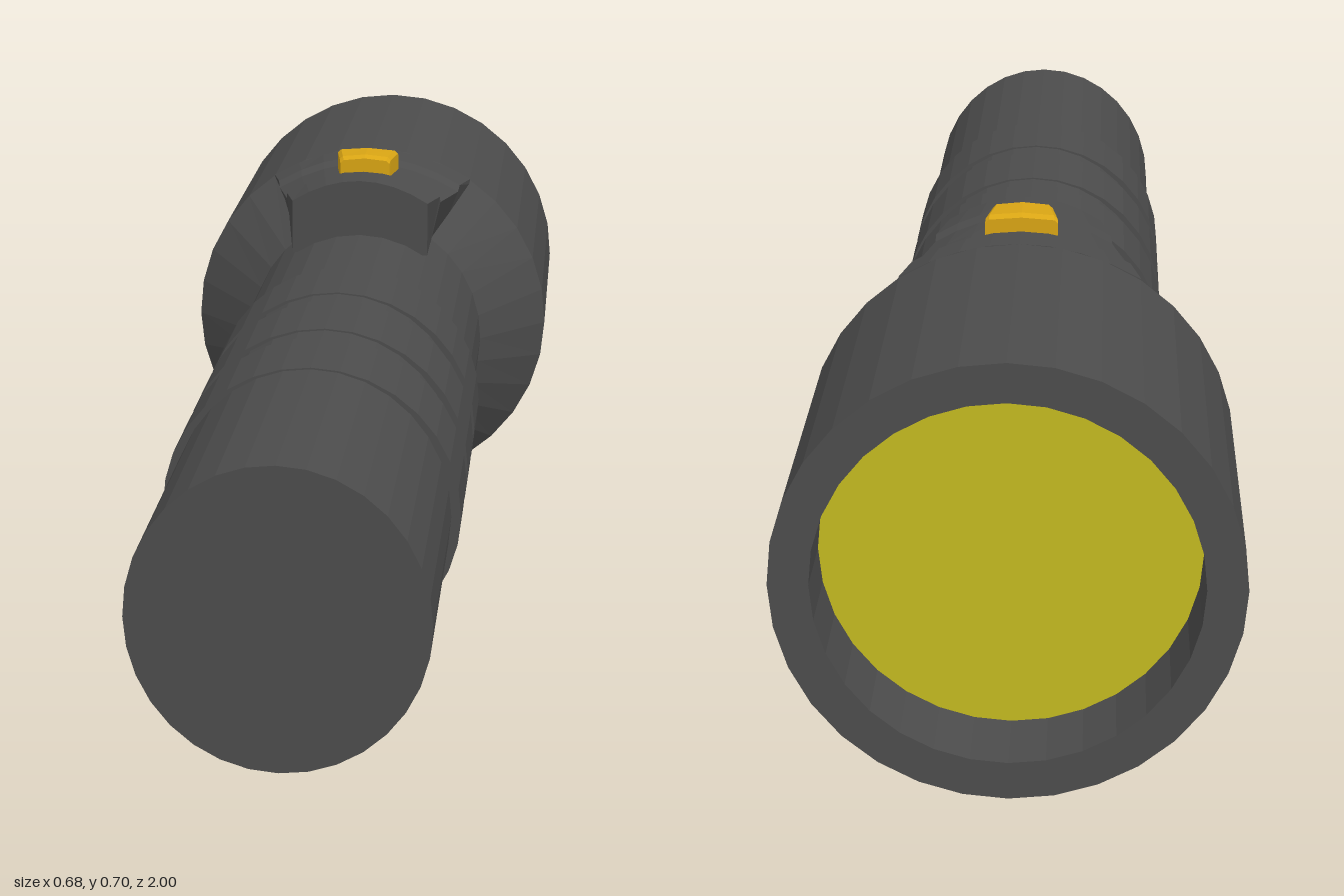
import * as THREE from 'three';

const AXIS = 0.341; // height of the torch axis
const SIDES = 32;
const paint = (color) => new THREE.MeshStandardMaterial({ color, flatShading: true });

// Skin a list of cross-sections running from front (+z) to back; points go counter-clockwise seen from +z.
function loft(sections, capFront, capBack) {
  const n = sections[0].length;
  const pos = sections.flat(2);
  const index = [];
  for (let s = 0; s < sections.length - 1; s++) {
    for (let i = 0; i < n; i++) {
      const j = (i + 1) % n;
      const a = s * n + i, b = s * n + j;
      index.push(a, a + n, b, b, a + n, b + n);
    }
  }
  const cap = (s, flip) => {
    const c = pos.length / 3;
    const sum = [0, 0, 0];
    sections[s].forEach((p) => p.forEach((v, k) => { sum[k] += v / n; }));
    pos.push(...sum);
    for (let i = 0; i < n; i++) {
      const a = s * n + i, b = s * n + (i + 1) % n;
      if (flip) index.push(c, b, a);
      else index.push(c, a, b);
    }
  };
  if (capFront) cap(0, false);
  if (capBack) cap(sections.length - 1, true);
  const g = new THREE.BufferGeometry();
  g.setAttribute('position', new THREE.Float32BufferAttribute(pos, 3));
  g.setIndex(index);
  const flat = g.toNonIndexed();
  flat.computeVertexNormals();
  return flat;
}

// Elliptical ring around the axis
function ring(z, rx, ry = rx) {
  return Array.from({ length: SIDES }, (_, i) => {
    const a = (i / SIDES) * Math.PI * 2;
    return [rx * Math.cos(a), AXIS + ry * Math.sin(a), z];
  });
}

// Section of the switch housing: arched top, slanted sides
function housingSection(z, drop) {
  const t = (-0.235 - z) / 0.255;
  const k = Math.max(0, (-0.37 - z) / 0.12);
  const w = 0.125 + 0.065 * t;
  const side = 0.638 - 0.013 * t, mid = 0.678 + 0.003 * t;
  const bx = 0.125 + 0.065 * k, by = 0.54 + 0.075 * k;
  const pts = [[-bx, by, z], [bx, by, z]];
  for (let i = 0; i <= 8; i++) {
    const u = 1 - i / 4;
    pts.push([w * u, side + (mid - side) * (1 - u * u) - drop, z]);
  }
  return pts;
}

// Section of the button: bevelled top with a slight crown
function buttonSection(z, w, inset) {
  const top = 0.703 - inset;
  const right = [[w, 0.655], [w, top - 0.01], [w - 0.006, top - 0.004]];
  const left = right.map(([x, y]) => [-x, y]).reverse();
  return [...right, [0, top], ...left].map(([x, y]) => [x, y, z]);
}

export function createModel() {
  const group = new THREE.Group();
  const dark = paint(0x4c4c4c);
  const add = (name, geometry, material) => {
    const mesh = new THREE.Mesh(geometry, material);
    mesh.name = name;
    group.add(mesh);
    return mesh;
  };

  // Handle, flared collar, head and the hollow behind the rim
  add('body', loft([
    ring(1, 0.22, 0.235), ring(-0.37, 0.22, 0.235),
    ring(-0.49, 0.34), ring(-1, 0.34),
    ring(-1, 0.281), ring(-0.87, 0.281),
  ], true, false), dark);

  // Three grip bands, thicker at the sides
  for (const [front, back] of [[0.57, 0.41], [0.365, 0.2], [0.155, -0.005]]) {
    add('gripBand', loft([ring(front, 0.235, 0.2375), ring(back, 0.235, 0.2375)], true, true), dark);
  }

  // Lens set into the head
  const lens = add('lens', new THREE.CircleGeometry(0.281, SIDES), paint(0xc4ba20));
  lens.rotation.y = Math.PI;
  lens.position.set(0, AXIS, -0.877);

  // Switch housing with a shallow recess across its top
  const steps = [[-0.235, 0], [-0.305, 0], [-0.31, 0.011], [-0.37, 0.011], [-0.415, 0.011], [-0.425, 0], [-0.49, 0]];
  add('switchHousing', loft(steps.map(([z, drop]) => housingSection(z, drop)), true, true), dark);

  // Tapered push button
  add('switchButton', loft([
    buttonSection(-0.335, 0.046, 0.006), buttonSection(-0.343, 0.048, 0),
    buttonSection(-0.398, 0.057, 0), buttonSection(-0.406, 0.058, 0.006),
  ], true, true), paint(0xd9a514));

  return group;
}
